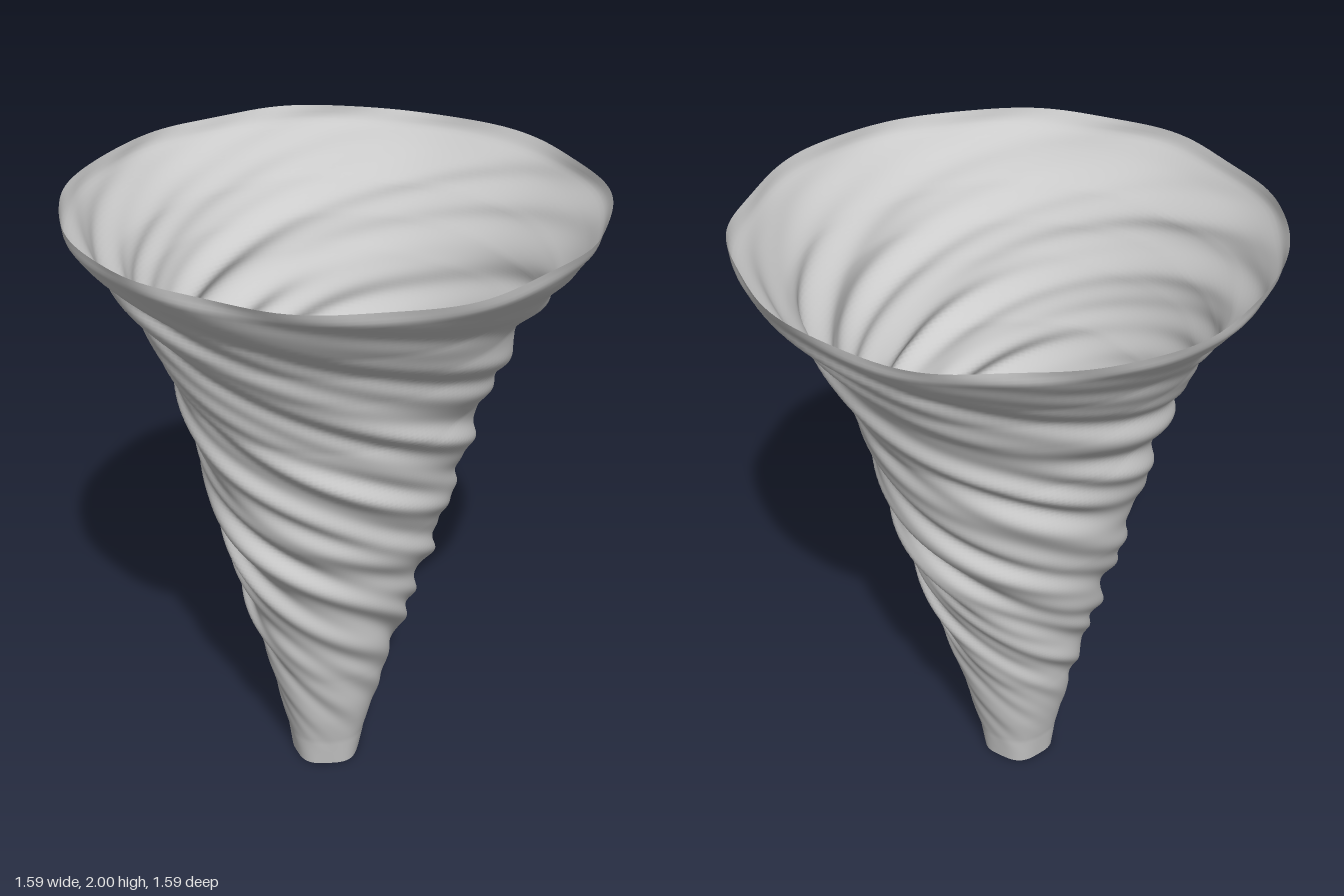
import * as THREE from 'three';

// Silhouette heights and mean radii of the funnel, from tip to rim
const profile = [
  [0, 0.112], [0.1, 0.128], [0.2, 0.153], [0.4, 0.2], [0.6, 0.255], [0.8, 0.312], [1.0, 0.37],
  [1.2, 0.42], [1.4, 0.47], [1.6, 0.55], [1.7, 0.598], [1.8, 0.66], [1.9, 0.74], [1.96, 0.785], [2, 0.795],
];

function radiusAt(y) {
  let i = 0;
  while (i < profile.length - 2 && y > profile[i + 1][0]) i++;
  const [y0, r0] = profile[i];
  const [y1, r1] = profile[i + 1];
  return THREE.MathUtils.lerp(r0, r1, (y - y0) / (y1 - y0));
}

// Irregular spiral furrows that descend to the right around the funnel
function ridges(a, y) {
  const s = a + y / 0.19;
  const main = Math.sin(8 * s + 1.2 * Math.sin(2 * a + 3 * y));
  const broad = Math.sin(5 * s + 1.3 + 1.2 * Math.sin(a - 5 * y));
  const fine = Math.sin(13 * s + 2 * Math.sin(a + 4 * y));
  const patch = 0.7 + 0.5 * Math.sin(2 * a - 6 * y + 1);
  const fade = THREE.MathUtils.smoothstep(y, 0, 0.8) * (1 - 0.65 * THREE.MathUtils.smoothstep(y, 1.75, 2));
  return fade * (0.011 * main * patch + 0.01 * broad + 0.0035 * fine);
}

function funnelGeometry(segments = 160, rows = 180) {
  const positions = [];
  const indices = [];
  for (let j = 0; j <= rows; j++) {
    const t = j / rows;
    const lean = 0.022 * (1 - t);
    for (let i = 0; i < segments; i++) {
      const a = (i / segments) * Math.PI * 2;
      // Slightly uneven rim and lobed tip
      const rimWave = t ** 12 * (0.004 * Math.sin(5 * a) + 0.003 * Math.sin(8 * a + 1) - 0.007);
      const rimLobes = t ** 12 * 0.004 * Math.sin(11 * a + 0.5);
      const tipLobes = (1 - t) ** 10 * 0.004 * Math.sin(5 * a + 0.6);
      const r = radiusAt(2 * t) + ridges(a, 2 * t) + rimLobes + tipLobes;
      positions.push(r * Math.sin(a) - lean, 2 * t + rimWave, r * Math.cos(a) + lean);
      if (j < rows) {
        const p = j * segments + i;
        const q = j * segments + ((i + 1) % segments);
        indices.push(p, q, q + segments, p, q + segments, p + segments);
      }
    }
  }
  const geometry = new THREE.BufferGeometry();
  geometry.setAttribute('position', new THREE.Float32BufferAttribute(positions, 3));
  geometry.setIndex(indices);
  geometry.computeVertexNormals();
  return geometry;
}

export function createModel() {
  const group = new THREE.Group();
  group.name = 'whirlwind';
  // Open twisted shell, hollow at both ends
  const material = new THREE.MeshStandardMaterial({ color: 0xcccccc, side: THREE.DoubleSide });
  const funnel = new THREE.Mesh(funnelGeometry(), material);
  funnel.name = 'funnel';
  group.add(funnel);
  return group;
}
